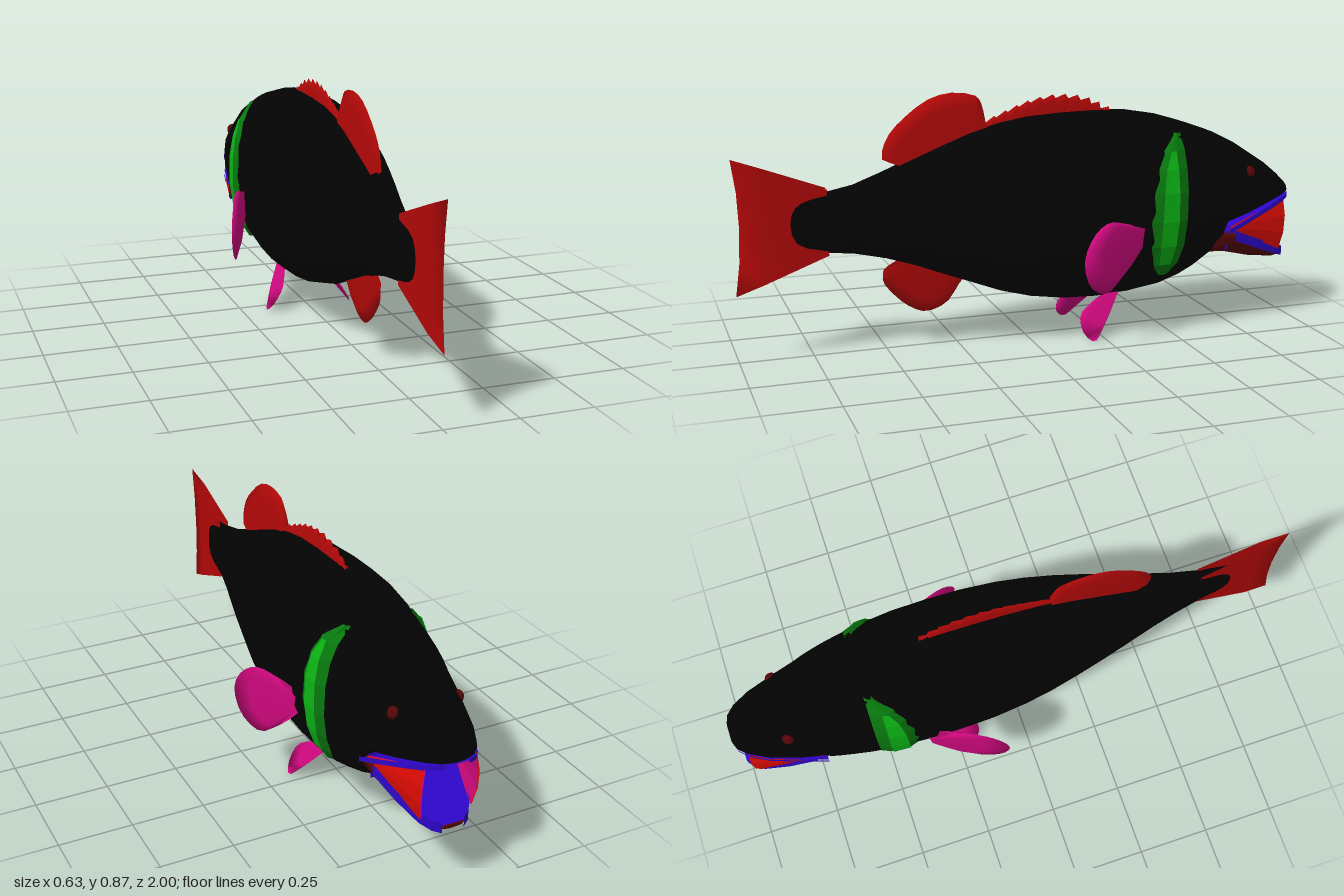
import * as THREE from 'three';
import { mergeVertices } from 'three/addons/utils/BufferGeometryUtils.js';

const mat = (name, color, side = THREE.DoubleSide) => {
  const m = new THREE.MeshStandardMaterial({ color, side });
  m.name = name;
  return m;
};

// Body stations, tail to snout: z, top, bottom, half width, height of widest point
const BODY = [
  [0.865, 0.51, 0.41, 0.003, 0.46], [0.84, 0.54, 0.38, 0.009, 0.46], [0.79, 0.553, 0.366, 0.02, 0.46],
  [0.7, 0.563, 0.357, 0.037, 0.46], [0.6, 0.583, 0.345, 0.06, 0.46], [0.5, 0.62, 0.322, 0.085, 0.46],
  [0.4, 0.66, 0.29, 0.112, 0.46], [0.3, 0.7, 0.25, 0.137, 0.46], [0.2, 0.738, 0.212, 0.16, 0.46],
  [0.1, 0.765, 0.173, 0.18, 0.46], [0, 0.783, 0.146, 0.195, 0.46], [-0.12, 0.791, 0.128, 0.206, 0.46],
  [-0.24, 0.793, 0.124, 0.209, 0.46], [-0.36, 0.789, 0.132, 0.208, 0.46], [-0.48, 0.768, 0.15, 0.201, 0.455],
  [-0.56, 0.744, 0.177, 0.192, 0.45], [-0.62, 0.724, 0.207, 0.183, 0.45], [-0.67, 0.706, 0.245, 0.174, 0.44],
  [-0.7, 0.694, 0.285, 0.168, 0.43], [-0.712, 0.69, 0.362, 0.165, 0.42], [-0.8, 0.645, 0.395, 0.146, 0.425],
  [-0.9, 0.58, 0.432, 0.119, 0.452], [-0.96, 0.53, 0.45, 0.09, 0.466], [-0.99, 0.5, 0.458, 0.062, 0.47],
  [-1, 0.482, 0.462, 0.036, 0.47],
];
const JAW = [
  [-0.66, 0.365, 0.255, 0.145, 0.355], [-0.75, 0.335, 0.25, 0.138, 0.325], [-0.85, 0.295, 0.226, 0.115, 0.287],
  [-0.94, 0.26, 0.214, 0.085, 0.253], [-0.975, 0.246, 0.218, 0.06, 0.24], [-0.992, 0.24, 0.228, 0.035, 0.236],
];
const P = 0.9; // slight squareness of the oval sections
const pow = (v) => Math.sign(v) * Math.abs(v) ** P;

// Smooth closed hull through oval sections
function hull(stations, sides) {
  const pos = [], idx = [], n = stations.length;
  for (const [z, top, bot, w, mid] of stations)
    for (let j = 0; j < sides; j++) {
      const a = (j / sides) * Math.PI * 2 + Math.PI / 2, s = pow(Math.sin(a));
      pos.push(w * pow(Math.cos(a)), mid + s * (s > 0 ? top - mid : mid - bot), z);
    }
  for (let i = 0; i < n - 1; i++)
    for (let j = 0; j < sides; j++) {
      const a = i * sides + j, b = i * sides + ((j + 1) % sides), c = b + sides, d = a + sides;
      idx.push(a, d, b, b, d, c);
    }
  const last = (n - 1) * sides;
  for (let j = 1; j < sides - 1; j++) idx.push(0, j, j + 1, last, last + j + 1, last + j);
  const g = new THREE.BufferGeometry();
  g.setAttribute('position', new THREE.Float32BufferAttribute(pos, 3));
  g.setIndex(idx);
  g.computeVertexNormals();
  return g;
}

// Sheet through rows of [x, y, z] points, faceted or smooth
function sheet(rows, smooth = false) {
  const pos = [];
  for (let i = 0; i < rows.length - 1; i++)
    for (let j = 0; j < rows[i].length - 1; j++) {
      const a = rows[i][j], b = rows[i][j + 1], c = rows[i + 1][j + 1], d = rows[i + 1][j];
      pos.push(...a, ...d, ...b, ...b, ...d, ...c);
    }
  let g = new THREE.BufferGeometry();
  g.setAttribute('position', new THREE.Float32BufferAttribute(pos, 3));
  if (smooth) g = mergeVertices(g);
  g.computeVertexNormals();
  return g;
}

// Smooth lens-shaped fin; points are [z, y], xAt gives the slant
function fin(root, tip, t, xAt = () => 0, s = 1) {
  const mid = root.map(([z, y], i) => [z + (tip[i][0] - z) * 0.7, y + (tip[i][1] - y) * 0.7]);
  const row = (pts, o) => pts.map(([z, y]) => [s * (xAt(z, y) + o), y, z]);
  return sheet([row(root, t), row(mid, t * 0.75), row(tip, 0), row(mid, -t * 0.75), row(root, -t)], true);
}

// Resample [z, y] points along a smooth curve
const smoothLine = (pts, n) =>
  new THREE.CatmullRomCurve3(pts.map(([z, y]) => new THREE.Vector3(0, y, z))).getPoints(n).map((p) => [p.z, p.y]);

// Half width of the body at a given z and y
function halfWidth(z, y) {
  let i = 0;
  while (i < BODY.length - 2 && BODY[i + 1][0] > z) i++;
  const f = (z - BODY[i][0]) / (BODY[i + 1][0] - BODY[i][0]);
  const [, top, bot, w, mid] = BODY[i].map((v, k) => v + (BODY[i + 1][k] - v) * f);
  const v = Math.min(1, Math.abs(y > mid ? (y - mid) / (top - mid) : (mid - y) / (mid - bot)));
  return w * (1 - v ** (2 / P)) ** (P / 2);
}

export function createModel() {
  const fish = new THREE.Group();
  fish.name = 'fish';
  const black = mat('bodyBlack', 0x030303, THREE.FrontSide);
  const red = mat('finRed', 0xb20808);
  const bright = mat('cheekRed', 0xe00c04);
  const pink = mat('sideFinPink', 0xcc087c);
  const green = mat('gillGreen', 0x0cb414);
  const darkGreen = mat('gillRimGreen', 0x08780e);
  const indigo = mat('mouthIndigo', 0x2e06c8);
  const darkRed = mat('darkRed', 0x560606, THREE.FrontSide);
  const add = (name, geo, m) => {
    const mesh = new THREE.Mesh(geo, m);
    mesh.name = name;
    fish.add(mesh);
    return mesh;
  };

  add('body', hull(BODY, 20), black);
  add('lowerJaw', hull(JAW, 20), darkRed);

  // Mouth linings
  const mouthTop = BODY.slice(19), mouthBase = JAW.slice(1);
  const lining = (st, k, off, grow) =>
    sheet(st.map(([z, , , w], i) => [-1, 0, 1].map((u) => [u * (w + grow), st[i][k] + off, z])));
  add('palate', lining(mouthTop, 2, -0.005, -0.002), indigo);
  add('mouthFloor', lining(mouthBase, 1, 0.004, 0.003), indigo);
  add('throat', sheet([[[-0.14, 0.37, -0.72], [0.14, 0.37, -0.72]], [[-0.13, 0.28, -0.72], [0.13, 0.28, -0.72]]]), indigo);

  // Tail fin
  add('tailFin', fin(
    [[0.69, 0.574], [0.7, 0.52], [0.7, 0.46], [0.7, 0.41], [0.69, 0.35]],
    [[1, 0.69], [0.985, 0.58], [0.98, 0.46], [0.985, 0.34], [1, 0.23]], 0.017), red);

  // Spiny front dorsal fin with a saw-tooth edge
  const tip = smoothLine([[-0.31, 0.8], [-0.23, 0.838], [-0.13, 0.853], [-0.03, 0.84], [0.06, 0.808], [0.15, 0.77]], 22)
    .map(([z, y], i) => (i % 2 ? [z + 0.012, y - 0.014] : [z, y]));
  const root = tip.map(([z]) => [z, 0.77 - Math.max(0, z) * 0.3]);
  add('spinyDorsalFin', fin(root, tip, 0.01), red);

  // Soft dorsal and anal fins
  add('softDorsalFin', fin(
    smoothLine([[0.14, 0.75], [0.22, 0.72], [0.34, 0.675], [0.44, 0.635]], 16),
    smoothLine([[0.14, 0.77], [0.155, 0.835], [0.175, 0.86], [0.26, 0.874], [0.34, 0.855], [0.42, 0.8],
      [0.475, 0.745], [0.5, 0.69], [0.5, 0.66]], 16), 0.014), red);
  add('analFin', fin(
    smoothLine([[0.23, 0.235], [0.3, 0.26], [0.38, 0.29], [0.44, 0.315]], 14),
    smoothLine([[0.235, 0.215], [0.285, 0.145], [0.36, 0.12], [0.42, 0.145], [0.475, 0.195], [0.507, 0.24],
      [0.505, 0.28]], 14), 0.014), red);

  for (const s of [1, -1]) {
    const side = s > 0 ? 'left' : 'right';

    // Fan-shaped pectoral fin and small pelvic fin
    add(side + 'PectoralFin', fin(
      smoothLine([[-0.365, 0.405], [-0.36, 0.375], [-0.355, 0.34]], 16),
      smoothLine([[-0.29, 0.432], [-0.21, 0.45], [-0.145, 0.415], [-0.105, 0.335], [-0.135, 0.24],
        [-0.205, 0.205], [-0.29, 0.265]], 16),
      0.014, (z) => 0.198 + (z + 0.365) * 0.45, s), pink);
    add(side + 'PelvicFin', fin(
      smoothLine([[-0.32, 0.162], [-0.322, 0.158], [-0.325, 0.15]], 10),
      smoothLine([[-0.23, 0.127], [-0.17, 0.085], [-0.17, 0.03], [-0.205, 0], [-0.25, 0.045]], 10),
      0.008, (z, y) => 0.068 + (0.155 - y) * 0.6, s), pink);

    // Gill band: rows of y, rear z, rear ridge z, front ridge z, front z
    const band = [
      [0.715, -0.51, -0.515, -0.525, -0.535], [0.66, -0.45, -0.475, -0.495, -0.535], [0.6, -0.425, -0.448, -0.495, -0.535],
      [0.52, -0.405, -0.436, -0.495, -0.535], [0.42, -0.395, -0.432, -0.495, -0.533], [0.33, -0.4, -0.43, -0.49, -0.528],
      [0.26, -0.415, -0.435, -0.48, -0.515], [0.215, -0.45, -0.455, -0.47, -0.485],
    ];
    const lift = [-0.002, 0.01, 0.011, 0.002];
    const rows = (off) => band.map(([y, ...zs]) =>
      zs.map((z, k) => [s * (halfWidth(z, y) + lift[k] + off), y, z]));
    add(side + 'GillBandRim', sheet(rows(0)), darkGreen);
    add(side + 'GillBandCentre', sheet(rows(0.003).slice(1, 7).map((r) => r.slice(1, 3))), green);

    // Lips along the edges of the mouth
    const lip = (st, k, lo, hi) => sheet([lo, hi].map((o) =>
      st.map((r) => [s * (r[3] + 0.003), r[k] + o, r[0]])));
    add(side + 'UpperLip', lip(mouthTop, 2, -0.014, 0.002), indigo);
    add(side + 'LowerLip', lip(mouthBase, 1, -0.022, 0.014), indigo);

    // Cheek membrane, bright outside and pink inside, fanning from the mouth corner
    const cheek = (inset) => sheet([0, 0.35, 0.7, 1].map((f) => [0, 1, 2, 3].map((j) => {
      const u = j / 3, b = Math.sin(u * Math.PI);
      return [s * (0.148 - 0.058 * f + 0.012 * b * f - inset),
        0.366 + f * (0.08 - 0.19 * u), -0.72 - f * (0.242 - 0.012 * u + 0.01 * b)];
    })));
    add(side + 'CheekOuter', cheek(0), bright);
    add(side + 'CheekInner', cheek(0.005), pink);

    // Eye
    const eye = add(side + 'Eye', new THREE.SphereGeometry(0.022, 14, 10), darkRed);
    eye.position.set(s * (halfWidth(-0.81, 0.555) - 0.012), 0.555, -0.81);
  }
  return fish;
}
